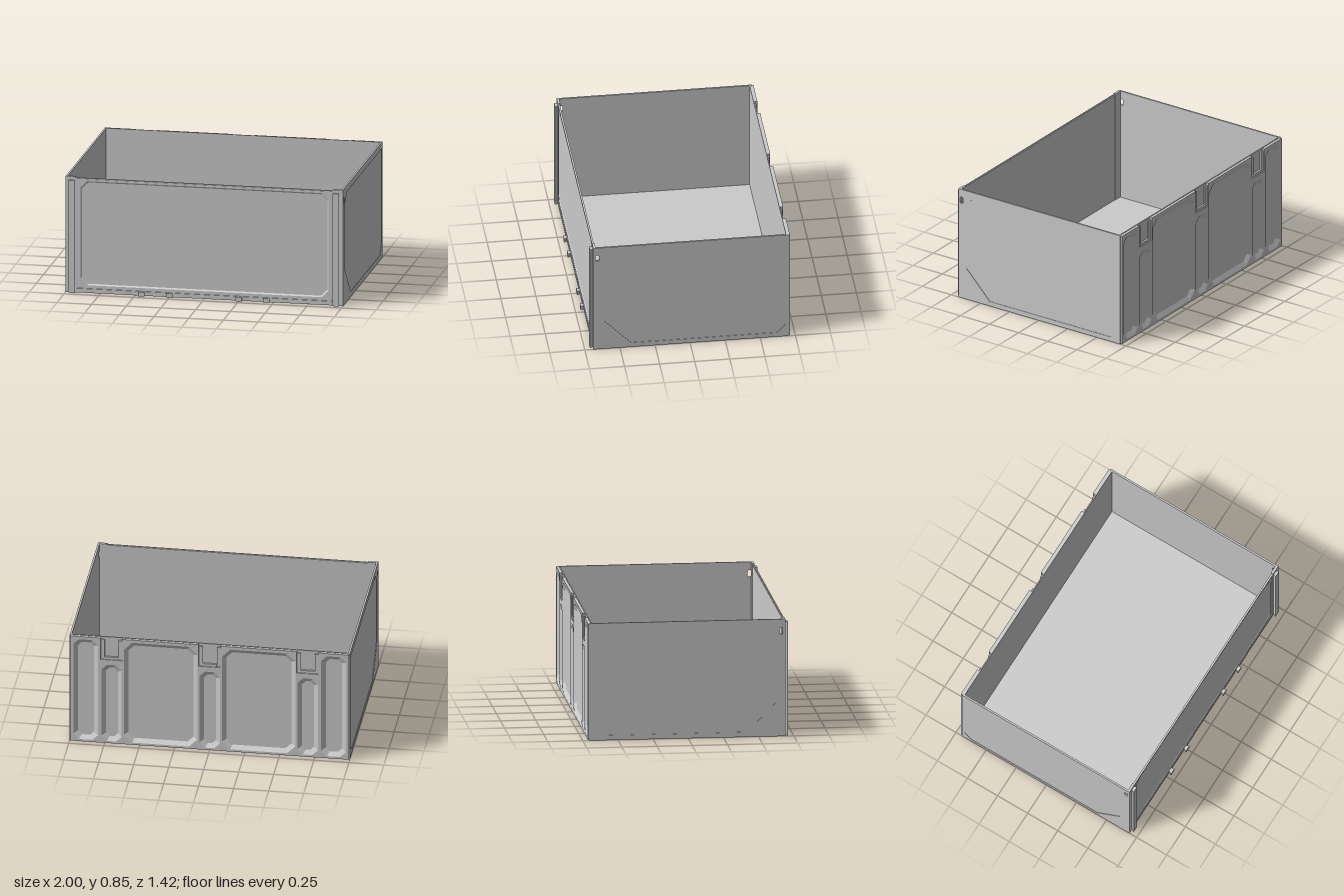
import * as THREE from 'three';

const H = 0.845;
const mat = new THREE.MeshStandardMaterial({ color: 0xcccccc, flatShading: true, side: THREE.DoubleSide });

// Rectangle outline with chamfered corners
const chamfered = (x0, x1, y0, y1, c) => [
  [x0 + c, y0], [x1 - c, y0], [x1, y0 + c], [x1, y1 - c],
  [x1 - c, y1], [x0 + c, y1], [x0, y1 - c], [x0, y0 + c],
];
const rect = (x0, x1, y0, y1) => [[x0, y0], [x1, y0], [x1, y1], [x0, y1]];
const toPoints = (pts) => pts.map(([x, y]) => new THREE.Vector2(x, y));

// Flat plate with optional holes, standing between z and z + depth
function plate(outline, holes, z, depth) {
  const shape = new THREE.Shape(toPoints(outline));
  for (const h of holes) shape.holes.push(new THREE.Path(toPoints(h)));
  return new THREE.ExtrudeGeometry(shape, { depth, bevelEnabled: false }).translate(0, 0, z);
}

// Sloping band between an outer outline at z0 and an inner outline at z1
function slope(outer, inner, z0, z1) {
  const pos = [], index = [], n = outer.length;
  for (let i = 0; i < n; i++) {
    pos.push(...outer[i], z0, ...inner[i], z1);
    const a = 2 * i, b = 2 * ((i + 1) % n);
    index.push(a, a + 1, b, b, a + 1, b + 1);
  }
  const g = new THREE.BufferGeometry();
  g.setAttribute('position', new THREE.Float32BufferAttribute(pos, 3));
  g.setIndex(index);
  g.computeVertexNormals();
  return g;
}

export function createModel() {
  const model = new THREE.Group();
  model.name = 'openCrate';
  const add = (name, geometry, parent = model) => {
    const mesh = new THREE.Mesh(geometry, mat);
    mesh.name = name;
    parent.add(mesh);
    return mesh;
  };
  const block = (x0, x1, y0, y1, z0, z1) =>
    new THREE.BoxGeometry(x1 - x0, y1 - y0, z1 - z0)
      .translate((x0 + x1) / 2, (y0 + y1) / 2, (z0 + z1) / 2);

  // Floor
  add('floor', block(-0.99, 0.99, 0, 0.018, -0.70, 0.685));

  // Side walls: sheet plus a thin frame around a sunken panel, drawn in z and y
  const sideOutline = rect(-0.70, 0.69, 0, H);
  const sidePanel = [[0.42, 0.035], [0.62, 0.24], [0.62, 0.735], [0.56, 0.8],
    [-0.68, 0.8], [-0.68, 0.1], [-0.62, 0.035]];
  const slot = chamfered(0.649, 0.675, 0.737, 0.785, 0.007);
  for (const s of [1, -1]) {
    const wall = new THREE.Group();
    wall.name = s > 0 ? 'leftWall' : 'rightWall';
    const parts = [
      ['sideSheet', plate(sideOutline, [slot], 0.987, 0.01)],
      ['sideFrame', plate(sideOutline, [sidePanel, slot], 0.997, 0.003)],
    ];
    for (const [name, g] of parts) {
      // The plate's x becomes world z, its depth becomes world x
      const p = g.attributes.position;
      for (let i = 0; i < p.count; i++) {
        p.setXYZ(i, s * p.getZ(i), p.getY(i), p.getX(i));
      }
      // Swapping two axes reverses the faces, so turn them back on the left
      if (s > 0) {
        for (let i = 0; i < p.count; i += 3) {
          const a = [p.getX(i), p.getY(i), p.getZ(i)];
          p.setXYZ(i, p.getX(i + 1), p.getY(i + 1), p.getZ(i + 1));
          p.setXYZ(i + 1, ...a);
        }
      }
      g.computeVertexNormals();
      add(name, g, wall);
    }
    model.add(wall);
  }

  // Front wall: sheet, stepped frame and chamfered sunken panel
  const front = new THREE.Group();
  front.name = 'frontWall';
  const panel = chamfered(-0.895, 0.895, 0.055, 0.815, 0.05);
  const panelInner = chamfered(-0.885, 0.885, 0.065, 0.805, 0.046);
  add('frontSheet', block(-0.93, 0.93, 0, 0.835, 0.676, 0.682), front);
  add('frontFrame', plate(rect(-0.915, 0.915, 0.035, 0.832), [panel], 0.682, 0.006), front);
  add('frontPanelEdge', slope(panel, panelInner, 0.688, 0.682), front);
  add('frontBorder', plate(rect(-0.93, 0.93, 0, 0.838), [rect(-0.92, 0.92, 0.03, 0.834)], 0.682, 0.008), front);
  model.add(front);

  // Dovetail strips: flared outward, standing on the front face
  const dovetail = (w, h) => {
    const shape = new THREE.Shape(toPoints([
      [-w * 0.3, 0], [w * 0.3, 0], [w * 0.5, -0.017], [w * 0.5, -0.022], [-w * 0.5, -0.022], [-w * 0.5, -0.017],
    ]));
    return new THREE.ExtrudeGeometry(shape, { depth: h, bevelEnabled: false })
      .rotateX(-Math.PI / 2);
  };
  for (const s of [1, -1]) {
    add('frontCornerPost', block(s > 0 ? 0.93 : -0.99, s > 0 ? 0.99 : -0.93, 0, H, 0.672, 0.69));
    add('cornerRail', dovetail(0.046, 0.82)).position.set(s * 0.952, 0, 0.689);
    for (const x of [0.25, 0.45]) {
      add('frontClip', dovetail(0.046, 0.03)).position.set(s * x, 0, 0.689);
    }
  }

  // Back wall: thin sheet with a ribbed frame of bevelled recesses
  const back = new THREE.Group();
  back.name = 'backWall';
  const zOut = -0.712, zIn = -0.692, bevel = 0.03;
  const hinges = [-0.7, 0, 0.7];
  const recesses = [];
  for (const s of [1, -1]) recesses.push([s * 0.885, 0.088, 0.82, 0.04], [s * 0.35, 0.262, 0.82, 0.06]);
  for (const x of hinges) recesses.push([x, 0.073, 0.63, 0.04]);

  // Frame outline, notched at the top for the hinge pockets
  const outline = [[-0.995, 0.003], [0.995, 0.003], [0.995, H - 0.003]];
  for (const x of [...hinges].reverse()) {
    outline.push([x + 0.078, H - 0.003], [x + 0.078, 0.67], [x - 0.078, 0.67], [x - 0.078, H - 0.003]);
  }
  outline.push([-0.995, H - 0.003]);
  const holes = recesses.map(([x, w, top, c]) => chamfered(x - w, x + w, 0.02, top, c));
  add('backRibs', plate(outline, holes, zOut, zIn - zOut), back);
  add('backSheet', block(-0.99, 0.99, 0, H, zIn, -0.684), back);
  recesses.forEach(([x, w, top, c], i) => {
    const inner = chamfered(x - w + bevel, x + w - bevel, 0.02 + bevel, top - bevel, c * 0.7);
    add('recessBevel', slope(holes[i], inner, zOut, zIn - 0.0005), back);
  });

  // Hinge pocket lugs and lower lip
  for (const x of hinges) {
    for (const s of [1, -1]) {
      add('hingeLug', block(x + s * 0.064 - 0.014, x + s * 0.064 + 0.014, 0.67, H - 0.02, -0.703, zIn), back);
    }
    add('hingeLip', block(x - 0.05, x + 0.05, 0.67, 0.69, -0.706, zIn), back);
  }
  model.add(back);

  return model;
}
